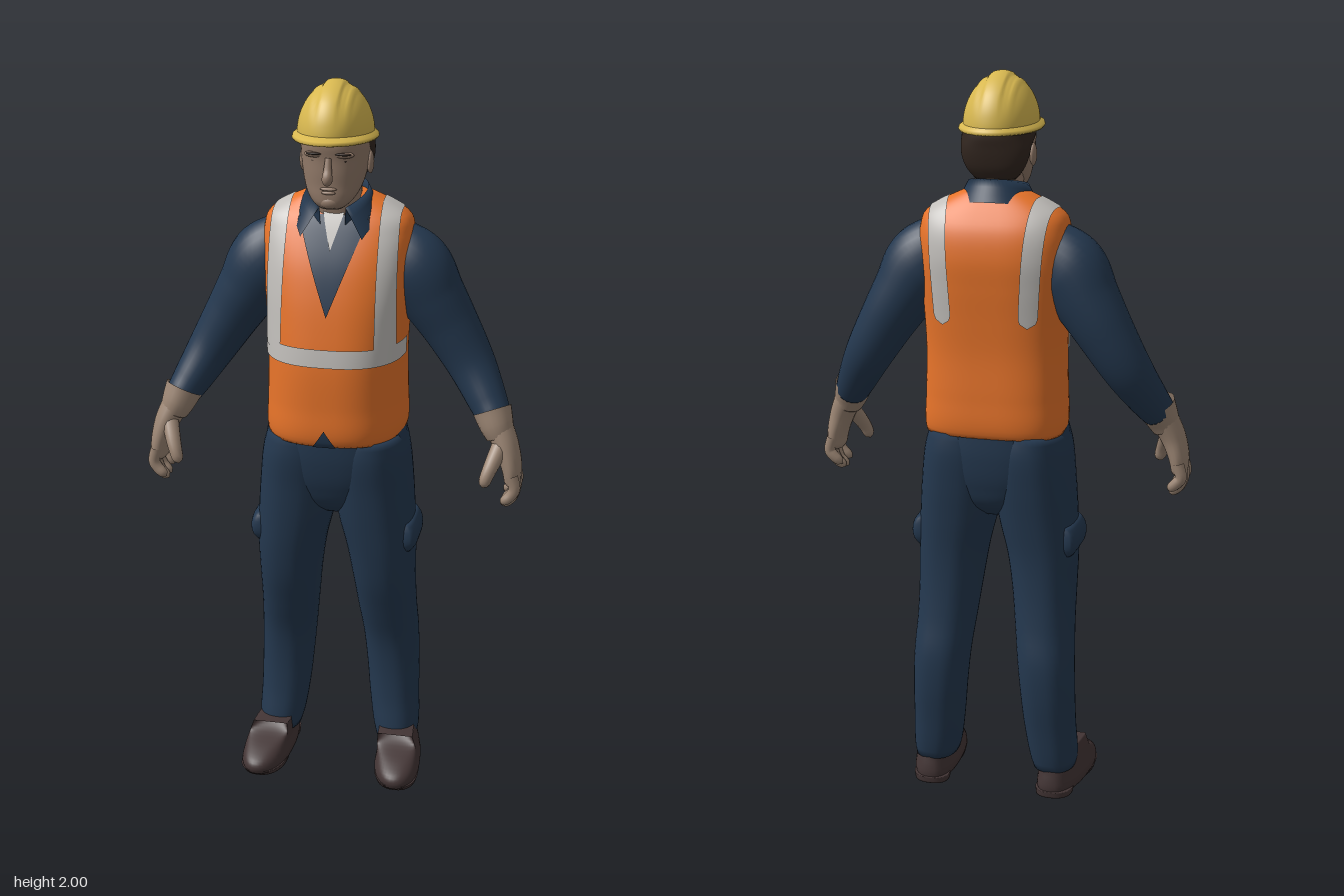
import * as THREE from 'three';
import { mergeVertices } from 'three/addons/utils/BufferGeometryUtils.js';

const V = (x, y, z) => new THREE.Vector3(x, y, z);
const lerp = THREE.MathUtils.lerp, clamp = THREE.MathUtils.clamp;

// Surface from a rule f(u, v): u runs around, v runs along
function grid(f, nu, nv) {
  const pos = [], idx = [];
  for (let j = 0; j <= nv; j++) for (let i = 0; i <= nu; i++) pos.push(...f(i / nu, j / nv).toArray());
  for (let j = 0; j < nv; j++) for (let i = 0; i < nu; i++) {
    const a = j * (nu + 1) + i, b = a + nu + 1;
    idx.push(a, b, a + 1, a + 1, b, b + 1);
  }
  let g = new THREE.BufferGeometry();
  g.setAttribute('position', new THREE.Float32BufferAttribute(pos, 3));
  g.setIndex(idx);
  g = mergeVertices(g, 1e-5);
  g.computeVertexNormals();
  return g;
}

// Mirror a geometry in x
function mirror(g) {
  const m = g.clone().scale(-1, 1, 1), a = m.index.array;
  for (let i = 0; i < a.length; i += 3) [a[i], a[i + 1]] = [a[i + 1], a[i]];
  m.computeVertexNormals();
  return m;
}

// Body built from horizontal sections [y, xInner, xOuter, zFront, zBack]
function body(rows, { nf = 2.3, nb = 2.3, z0 = null } = {}) {
  const ip = new THREE.CubicInterpolant(rows.map(r => r[0]), new Float32Array(rows.flatMap(r => r.slice(1))), 4);
  const y0 = rows[0][0], y1 = rows[rows.length - 1][0];
  const at = (y, d = 0) => {
    const [a, b, f, k] = ip.evaluate(clamp(y, y0, y1));
    return { c: (a + b) / 2, w: (b - a) / 2 + d, f: f + d, k: k - d, m: z0 ?? (f + k) / 2 };
  };
  const ring = (y, t, d = 0, s = 1) => {
    const r = at(y, d), cs = Math.cos(t), sn = Math.sin(t), e = 2 / (sn > 0 ? nf : nb);
    const h = Math.abs(sn) < 1e-6 ? 0 : Math.abs(sn) ** e;
    return V(r.c + s * r.w * Math.sign(cs) * Math.abs(cs) ** e, y, r.m + s * h * (sn > 0 ? r.f - r.m : r.k - r.m));
  };
  const onFace = (x, y, d, front = true) => {
    const r = at(y, d), n = front ? nf : nb, q = Math.min(1, Math.abs(x - r.c) / r.w);
    return V(x, y, r.m + ((front ? r.f : r.k) - r.m) * (1 - q ** n) ** (1 / n));
  };
  const geo = (nu = 48, nv = 36) => grid((u, v) => {
    const k = Math.round(v * (nv + 2)), s = k === 0 || k === nv + 2 ? 0 : 1;
    return ring(lerp(y0, y1, clamp((k - 1) / nv, 0, 1)), (u % 1) * Math.PI * 2, 0, s);
  }, nu, nv + 2);
  return { at, ring, onFace, geo };
}
const sym = rows => rows.map(([y, w, f, b]) => [y, -w, w, f, b]);

// Limb along points [x, y, z, radiusA, radiusB] with a rounded tip
function limb(pts, tip = 0.15, nu = 20, nv = 24) {
  const path = new THREE.CatmullRomCurve3(pts.map(p => V(p[0], p[1], p[2])));
  const rad = new THREE.CatmullRomCurve3(pts.map((p, i) => V(p[3], p[4] ?? p[3], i)));
  return grid((u, v) => {
    const T = path.getTangent(v), A = V(0, 0, 1).cross(T).normalize(), B = A.clone().cross(T);
    const r = rad.getPoint(v), a = (u % 1) * Math.PI * 2;
    const k = v > 1 - tip ? Math.sqrt(Math.max(0, 1 - ((v - 1 + tip) / tip) ** 2)) : 1;
    return path.getPoint(v).addScaledVector(A, Math.cos(a) * r.x * k).addScaledVector(B, Math.sin(a) * r.y * k);
  }, nu, nv);
}
const blob = (x, y, z, a, b, c) => new THREE.SphereGeometry(1, 20, 14).scale(a, b, c).translate(x, y, z);

export function createModel() {
  const model = new THREE.Group();
  const mat = (name, color, side = THREE.FrontSide) => {
    const m = new THREE.MeshStandardMaterial({ color, side });
    m.name = name;
    return m;
  };
  const orange = mat('vestOrange', 0xe8742a), navy = mat('workwearNavy', 0x24384f, THREE.DoubleSide);
  const silver = mat('reflectiveGrey', 0xc2bfbb), yellow = mat('helmetYellow', 0xd8b850);
  const skin = mat('skin', 0x927a69), glove = mat('gloveTan', 0x9c8674, THREE.DoubleSide);
  const leather = mat('bootBrown', 0x433535), hair = mat('hairBrown', 0x32261f);
  const add = (name, geo, m) => {
    const mesh = new THREE.Mesh(geo, m);
    mesh.name = name;
    model.add(mesh);
  };
  const pair = (name, geo, m) => {
    add(name + 'Left', geo, m);
    add(name + 'Right', mirror(geo), m);
  };

  // Vest
  const vest = body(sym([
    [1.045, 0.187, 0.157, -0.167], [1.06, 0.19, 0.163, -0.172], [1.15, 0.188, 0.163, -0.172],
    [1.27, 0.186, 0.158, -0.168], [1.36, 0.19, 0.143, -0.172], [1.45, 0.197, 0.122, -0.178],
    [1.53, 0.201, 0.095, -0.18], [1.6, 0.2, 0.06, -0.166], [1.64, 0.186, 0.035, -0.145],
    [1.67, 0.14, 0.01, -0.125], [1.7, 0.075, -0.01, -0.1]]), { nf: 2.6, nb: 2.9, z0: -0.05 });
  add('vest', vest.geo(72, 56), orange);

  // Shirt opening, undershirt and hem notch, as thin plates on the vest front
  const plate = (ya, yb, wa, wb, d) => grid((u, v) =>
    vest.onFace((1 - 2 * u) * lerp(wa, wb, v), lerp(ya, yb, v), d), 12, 20);
  add('shirtOpening', plate(1.4, 1.65, 0, 0.095, 0.004), navy);
  add('undershirt', plate(1.565, 1.67, 0, 0.032, 0.008), silver);
  add('hemNotch', plate(1.045, 1.095, 0.032, 0, 0.004), navy);

  // Reflective waist band across the front and sides
  add('waistBand', grid((u, v) =>
    vest.ring(lerp(1.27, 1.318, v), lerp(0.1, Math.PI - 0.1, u), 0.004), 60, 2), silver);

  // Reflective straps over the shoulders
  const crest = x => {
    let a = 1.58, b = 1.7;
    for (let i = 0; i < 30; i++) {
      const m = (a + b) / 2;
      if (vest.at(m, 0.005).w > x) a = m; else b = m;
    }
    return a;
  };
  pair('shoulderStrap', grid((u, v) => {
    const front = v <= 0.5, t = front ? v * 2 : 2 - v * 2;
    const mid = front ? lerp(0.15, 0.146, t) : lerp(0.115, 0.146, t);
    const end = !front && t < 0.06 ? Math.sqrt(1 - (1 - t / 0.06) ** 2) : 1;
    const x = mid + (0.5 - u) * 0.05 * end;
    return vest.onFace(x, lerp(front ? 1.3 : 1.35, crest(x), Math.sin(t * Math.PI / 2)), 0.005, front);
  }, 8, 80), silver);

  // Sleeves
  pair('sleeve', limb([
    [0.14, 1.53, -0.06, 0.1, 0.07], [0.2, 1.49, -0.057, 0.105, 0.087], [0.25, 1.415, -0.062, 0.09, 0.085],
    [0.3, 1.335, -0.065, 0.078, 0.077], [0.36, 1.235, -0.055, 0.066, 0.066],
    [0.41, 1.15, -0.018, 0.054, 0.055], [0.44, 1.1, 0.012, 0.045, 0.048]], 0.03, 28, 40), navy);

  // Gloves: cuff, palm, fingers and thumb
  pair('gloveCuff', limb([[0.428, 1.128, 0.005, 0.053, 0.057], [0.443, 1.09, 0.018, 0.046, 0.051],
    [0.456, 1.06, 0.024, 0.038, 0.044]], 0.02), glove);
  pair('glovePalm', limb([[0.442, 1.1, 0.015, 0.04, 0.045], [0.473, 1.035, 0.03, 0.034, 0.048],
    [0.49, 0.975, 0.034, 0.027, 0.052], [0.492, 0.925, 0.034, 0.02, 0.046]]), glove);
  for (let i = 0; i < 4; i++) {
    const z = 0.073 - i * 0.026, e = [0.015, 0, 0.004, 0.02][i];
    pair('gloveFinger' + (i + 1), limb([[0.493, 0.97, z, 0.017], [0.502, 0.93, z, 0.016],
      [0.492, 0.895 + e, z, 0.0155], [0.466, 0.872 + e, z + 0.004, 0.014]], 0.2, 12, 14), glove);
  }
  pair('gloveThumb', limb([[0.462, 1.055, 0.04, 0.024], [0.442, 1.005, 0.082, 0.021],
    [0.43, 0.975, 0.1, 0.018], [0.42, 0.942, 0.108, 0.015]], 0.2, 12, 14), glove);

  // Trousers
  add('trouserSeat', body(sym([[0.81, 0.06, 0.05, -0.09], [0.84, 0.11, 0.09, -0.13], [0.9, 0.17, 0.12, -0.155],
    [0.98, 0.196, 0.137, -0.167], [1.08, 0.184, 0.14, -0.165]])).geo(), navy);
  pair('trouserLeg', body([
    [0.075, 0.115, 0.232, 0.03, -0.13], [0.1, 0.108, 0.235, 0.03, -0.136], [0.2, 0.092, 0.232, 0.016, -0.15],
    [0.3, 0.082, 0.23, 0.012, -0.163], [0.4, 0.072, 0.227, 0.022, -0.165], [0.5, 0.06, 0.222, 0.052, -0.15],
    [0.6, 0.048, 0.221, 0.083, -0.141], [0.7, 0.032, 0.222, 0.102, -0.14], [0.8, 0.008, 0.218, 0.115, -0.149],
    [0.9, -0.005, 0.211, 0.125, -0.16], [1.0, 0.0, 0.199, 0.135, -0.166], [1.05, 0.02, 0.185, 0.13, -0.16]],
  { nf: 2.3, nb: 2.4 }).geo(40, 48), navy);
  pair('thighPocket', body([[0.705, 0.18, 0.222, 0.05, -0.09], [0.725, 0.18, 0.234, 0.063, -0.1],
    [0.77, 0.18, 0.233, 0.063, -0.1], [0.79, 0.18, 0.219, 0.055, -0.095]], { nf: 3.5, nb: 3.5 }).geo(32, 10), navy);

  // Boots, with toes turned slightly out
  const turnOut = g => {
    const p = g.attributes.position;
    for (let i = 0; i < p.count; i++) p.setX(i, p.getX(i) + 0.08 * p.getZ(i));
    g.computeVertexNormals();
    return g;
  };
  pair('boot', turnOut(body([[0.012, 0.125, 0.25, 0.174, -0.136], [0.03, 0.122, 0.253, 0.18, -0.138],
    [0.05, 0.125, 0.25, 0.168, -0.136], [0.07, 0.128, 0.246, 0.125, -0.132], [0.09, 0.128, 0.24, 0.06, -0.128],
    [0.12, 0.13, 0.23, 0.02, -0.12]], { z0: 0.06, nf: 2.1, nb: 2.6 }).geo(40, 20)), leather);
  pair('bootSole', turnOut(body([[0, 0.128, 0.247, 0.16, -0.015], [0.02, 0.124, 0.252, 0.176, -0.02]]).geo(32, 4)), leather);
  pair('bootHeel', turnOut(body([[0, 0.138, 0.237, -0.045, -0.136], [0.02, 0.136, 0.24, -0.04, -0.139]],
    { nf: 3, nb: 2.3 }).geo(32, 4)), leather);

  // Neck, head and face
  add('neck', body(sym([[1.6, 0.07, 0.02, -0.09], [1.67, 0.064, 0.035, -0.085], [1.78, 0.066, 0.045, -0.085]])).geo(32, 8), skin);
  add('head', body(sym([[1.678, 0.03, 0.086, 0.03], [1.69, 0.046, 0.099, 0], [1.71, 0.063, 0.102, -0.03],
    [1.74, 0.076, 0.101, -0.065], [1.77, 0.083, 0.102, -0.088], [1.81, 0.088, 0.102, -0.1],
    [1.85, 0.089, 0.106, -0.105], [1.9, 0.08, 0.09, -0.095]])).geo(48, 30), skin);
  add('nose', limb([[0, 1.815, 0.1, 0.008, 0.009], [0, 1.785, 0.11, 0.011, 0.01],
    [0, 1.765, 0.116, 0.014, 0.015], [0, 1.748, 0.108, 0.012, 0.015]], 0.3, 16, 16), skin);
  add('chin', blob(0, 1.698, 0.088, 0.026, 0.018, 0.017), skin);
  add('upperLip', blob(0, 1.735, 0.1, 0.022, 0.005, 0.008), skin);
  add('lowerLip', blob(0, 1.725, 0.099, 0.019, 0.005, 0.008), skin);
  pair('browRidge', blob(0.035, 1.823, 0.09, 0.03, 0.009, 0.014), skin);
  pair('eyebrow', blob(0.037, 1.826, 0.097, 0.023, 0.004, 0.01), hair);
  pair('eye', blob(0.035, 1.807, 0.089, 0.012, 0.004, 0.006), hair);
  pair('ear', blob(0.089, 1.785, -0.008, 0.009, 0.03, 0.019), skin);
  add('hair', body(sym([[1.725, 0.055, -0.03, -0.083], [1.75, 0.075, -0.03, -0.096], [1.78, 0.088, -0.025, -0.103],
    [1.81, 0.0925, -0.008, -0.107], [1.835, 0.094, 0.036, -0.11], [1.88, 0.088, 0.04, -0.105]]),
  { nf: 4, nb: 2.3 }).geo(48, 20), hair);

  // Folded shirt collar, open at the throat
  add('collar', grid((u, v) => {
    const s = u * 2 - 1, a = s * 2.7, q = Math.abs(s), sn = Math.sin(a), cs = Math.cos(a);
    const top = V(0.08 * sn, 1.73 - 0.055 * q * q, -0.025 - 0.082 * cs);
    const out = V(0.112 * sn + Math.sign(s) * 0.034 * q ** 6, 1.672 - 0.075 * q * q, -0.028 - 0.108 * cs);
    const low = V(0.072 * sn, 1.65 - 0.07 * q * q, -0.025 - 0.078 * cs);
    return v < 0.5 ? low.lerp(top, v * 2) : top.lerp(out, v * 2 - 1);
  }, 48, 6), navy);

  // Hard hat: ribbed dome and brim, tilted slightly back
  const tilt = p => p.setY(p.y + 0.06 * p.z);
  add('helmetDome', grid((u, v) => {
    const a = (u % 1) * Math.PI * 2, p = v * Math.PI / 2, c = Math.max(0, Math.cos(p)) ** 1.08, sn = Math.sin(a);
    const x = 0.099 * c * Math.cos(a), z = (sn > 0 ? 0.143 : 0.127) * c * sn;
    const rib = 1 - THREE.MathUtils.smoothstep(Math.abs(x), 0.022, 0.03);
    const side = 1 - THREE.MathUtils.smoothstep(Math.abs(Math.abs(x) - 0.05), 0.003, 0.009);
    const k = 1 + (0.04 * rib + 0.02 * side) * clamp(v * 3 - 0.4, 0, 1);
    return tilt(V(x, 1.862 + 0.132 * Math.sin(p) * k, z * (1 + (k - 1) * 0.6)));
  }, 96, 32), yellow);
  const brim = [[0.08, 0.1, 0.1, 1.862], [0.108, 0.17, 0.134, 1.85], [0.111, 0.174, 0.138, 1.855],
    [0.109, 0.17, 0.135, 1.861], [0.097, 0.14, 0.125, 1.87]];
  add('helmetBrim', grid((u, v) => {
    const [x, f, b, y] = brim[Math.round(v * 4)], a = (u % 1) * Math.PI * 2, sn = Math.sin(a);
    return tilt(V(x * Math.cos(a), y, (sn > 0 ? f : b) * sn));
  }, 64, 4), yellow);

  return model;
}
